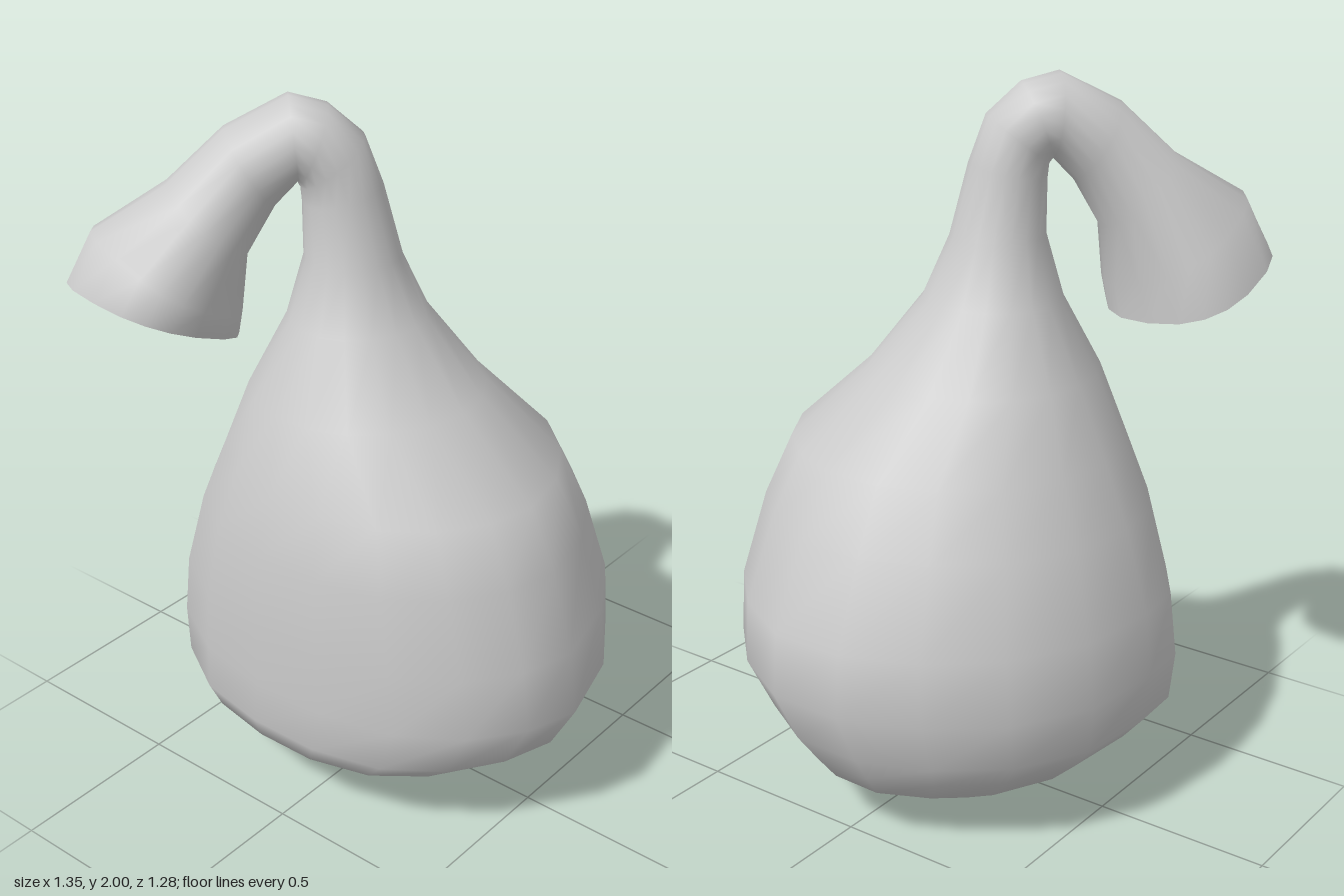
import * as THREE from 'three';

const SIDES = 18;

// Skin a list of closed rings (arrays of Vector3) into one smooth surface
function loft(rings) {
  const pos = [], idx = [];
  rings.forEach((ring, i) => ring.forEach((p, j) => {
    pos.push(p.x, p.y, p.z);
    if (i === rings.length - 1) return;
    const k = (j + 1) % SIDES;
    const a = i * SIDES + j, b = i * SIDES + k, c = a + SIDES, d = b + SIDES;
    if (i > 0) idx.push(a, c, b);
    idx.push(b, c, d);
  }));
  const g = new THREE.BufferGeometry();
  g.setAttribute('position', new THREE.Float32BufferAttribute(pos, 3));
  g.setIndex(idx);
  g.computeVertexNormals();
  return g;
}

// Points of a unit ring: angle, cosine and sine
const unitRing = Array.from({ length: SIDES }, (_, j) => {
  const a = (j / SIDES) * Math.PI * 2;
  return [Math.cos(a), Math.sin(a)];
});

// Bulb ring: level oval, deeper at the back, leaning out to the front right corner
function bulbRing([y, x0, x1, z0, z1, cz]) {
  const lean = 0.14 * Math.max(0, 1 - y / 1.4);
  return unitRing.map(([c, s]) => {
    const r = 1 + lean * Math.abs(c * s) * (s - c);
    return new THREE.Vector3(
      (x0 + x1) / 2 + r * c * (x1 - x0) / 2, y, cz + r * s * (s > 0 ? z1 - cz : cz - z0));
  });
}

// Neck ring: tilted towards the front right corner, then rolled about that direction
const bendDir = new THREE.Vector3(-1, 0, 1).normalize();
const bendAxis = new THREE.Vector3(0, 1, 0).cross(bendDir);
function neckRing([x, y, z, radius, tilt, roll = 0, power = 1]) {
  const soften = v => Math.sign(v) * Math.abs(v) ** power * radius;
  return unitRing.map(([c, s]) => new THREE.Vector3(soften(c), 0, soften(s))
    .applyAxisAngle(bendAxis, THREE.MathUtils.degToRad(tilt))
    .applyAxisAngle(bendDir, THREE.MathUtils.degToRad(roll))
    .add(new THREE.Vector3(x, y, z)));
}

export function createModel() {
  const group = new THREE.Group();

  // Bulb: y, x min, x max, z min, z max, z of the widest point
  const bulb = [
    [0.00, -0.05, -0.05, -0.04, -0.04, -0.04],
    [0.03, -0.24, 0.16, -0.31, 0.08, -0.08],
    [0.15, -0.46, 0.40, -0.53, 0.36, 0.02],
    [0.21, -0.53, 0.50, -0.57, 0.46, 0.05],
    [0.28, -0.59, 0.60, -0.61, 0.49, 0.05],
    [0.42, -0.61, 0.675, -0.66, 0.495, 0.05],
    [0.60, -0.59, 0.65, -0.65, 0.50, 0.05],
    [0.83, -0.52, 0.585, -0.54, 0.49, 0.05],
    [1.00, -0.45, 0.505, -0.445, 0.45, 0.05],
    [1.20, -0.36, 0.28, -0.27, 0.38, 0.05],
    [1.40, -0.26, 0.12, -0.13, 0.26, 0.05],
  ];

  // Neck and flared, squarish mouth: centre, radius, tilt, roll, squareness
  const neck = [
    [-0.075, 1.57, 0.075, 0.13, 0],
    [-0.095, 1.74, 0.09, 0.108, 12],
    [-0.115, 1.825, 0.105, 0.107, 38],
    [-0.15, 1.872, 0.14, 0.11, 68],
    [-0.19, 1.888, 0.17, 0.113, 95],
    [-0.27, 1.815, 0.25, 0.12, 122],
    [-0.35, 1.68, 0.33, 0.14, 137],
    [-0.415, 1.54, 0.42, 0.21, 148, 6, 0.8],
    [-0.455, 1.43, 0.44, 0.22, 160, 12, 0.8],
  ];

  const material = new THREE.MeshStandardMaterial({ color: 0xcccccc, side: THREE.DoubleSide });
  const body = new THREE.Mesh(loft([...bulb.map(bulbRing), ...neck.map(neckRing)]), material);
  body.name = 'bulbWithBentNeck';
  group.add(body);
  return group;
}
